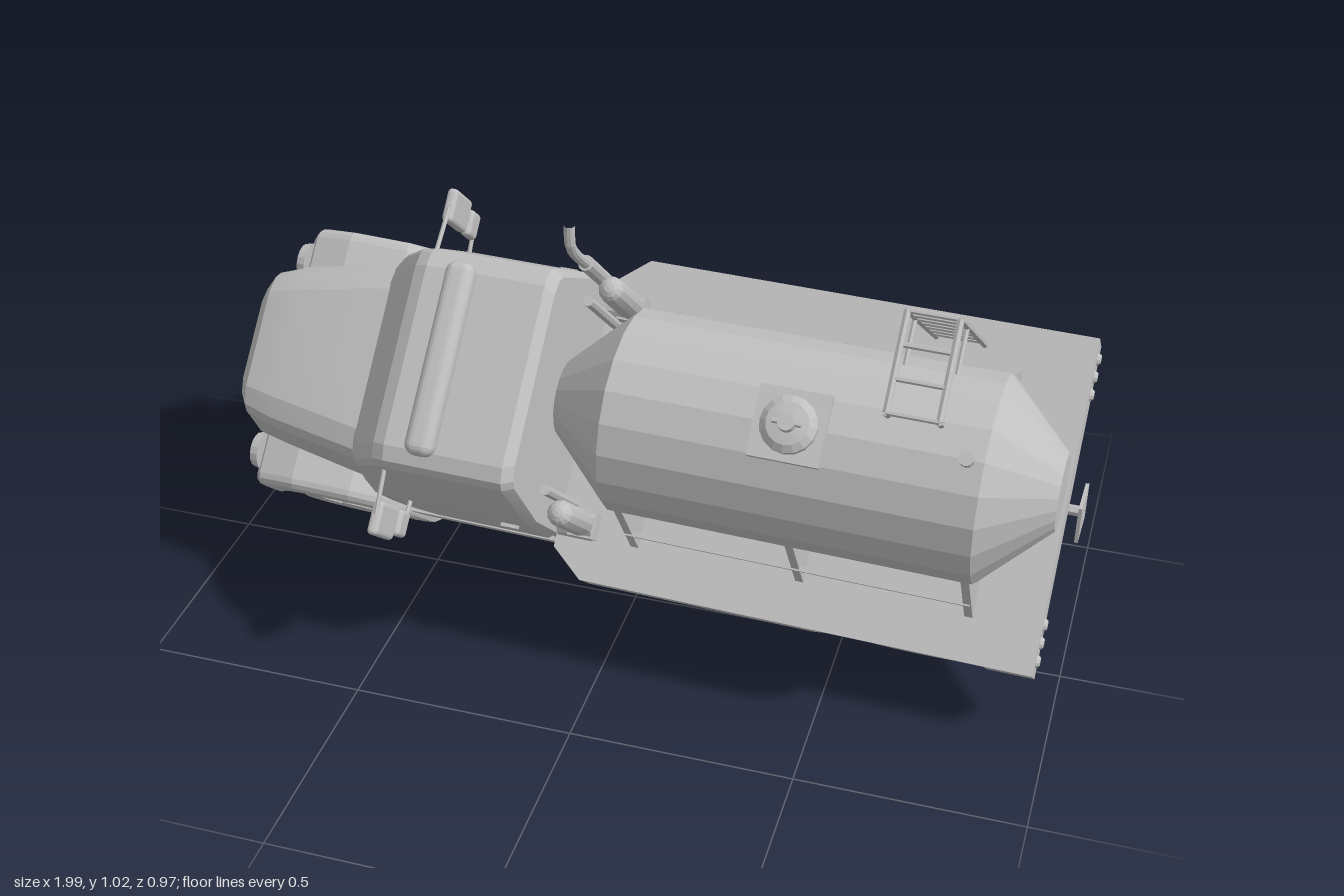
import * as THREE from 'three';
import { toCreasedNormals } from 'three/addons/utils/BufferGeometryUtils.js';
import { RoundedBoxGeometry } from 'three/addons/geometries/RoundedBoxGeometry.js';

export function createModel() {
  const grey = new THREE.MeshStandardMaterial({ color: 0xc0c0c0 });
  grey.name = 'plain grey';
  const truck = new THREE.Group();
  truck.name = 'tankTruck';

  // Helpers: truck nose points to -x, deck top is y = 0
  const add = (name, geo, x = 0, y = 0, z = 0) => {
    const m = new THREE.Mesh(toCreasedNormals(geo, 0.19), grey);
    m.name = name;
    m.position.set(x, y, z);
    truck.add(m);
    return m;
  };
  const box = (name, w, h, d, x, y, z) => add(name, new THREE.BoxGeometry(w, h, d), x, y, z);
  const rod = (name, a, b, r, sides = 6, r2 = r) => {
    const p = new THREE.Vector3(...a), q = new THREE.Vector3(...b);
    const m = add(name, new THREE.CylinderGeometry(r2, r, p.distanceTo(q), sides));
    m.position.copy(p).lerp(q, 0.5);
    m.quaternion.setFromUnitVectors(new THREE.Vector3(0, 1, 0), q.sub(p).normalize());
    return m;
  };
  const lathe = (pts, sides) => new THREE.LatheGeometry(pts.map(p => new THREE.Vector2(...p)), sides);
  const polygon = pts => new THREE.Shape(pts.map(p => new THREE.Vector2(...p)));
  const extrude = (shape, depth, bevel = 0) => new THREE.ExtrudeGeometry(shape, {
    depth, bevelEnabled: bevel > 0, bevelSize: bevel, bevelThickness: bevel,
    bevelOffset: -bevel, bevelSegments: 3, curveSegments: 16,
  });
  // Skin over cross-sections [x, bottom, waist, top, half bottom, half waist, half top, corner radius]
  const loft = sections => {
    const pos = [], idx = [];
    let n = 0;
    for (const [x, yb, ym, yt, hb, hm, ht, r] of sections) {
      const half = [[hb, yb], [hm, ym], [ht, yt - r], [ht - r * 0.1, yt - r * 0.6],
        [ht - r * 0.35, yt - r * 0.25], [ht - r, yt]];
      const ring = [...half, ...half.slice().reverse().map(([z, y]) => [-z, y])];
      n = ring.length;
      ring.forEach(([z, y]) => pos.push(x, y, z));
    }
    for (let s = 0; s < sections.length - 1; s++) for (let i = 0; i < n; i++) {
      const a = s * n + i, b = s * n + (i + 1) % n;
      idx.push(a, a + n, b, b, a + n, b + n);
    }
    const e = (sections.length - 1) * n;
    for (let i = 1; i < n - 1; i++) idx.push(0, i, i + 1, e, e + i + 1, e + i);
    const g = new THREE.BufferGeometry();
    g.setAttribute('position', new THREE.Float32BufferAttribute(pos, 3));
    g.setIndex(idx);
    g.computeVertexNormals();
    return g;
  };

  // Hood and cab
  add('hood', loft([
    [-0.898, -0.08, 0.05, 0.13, 0.13, 0.13, 0.11, 0.03],
    [-0.887, -0.08, 0.06, 0.175, 0.17, 0.17, 0.14, 0.05],
    [-0.86, -0.08, 0.07, 0.207, 0.193, 0.193, 0.17, 0.06],
    [-0.78, -0.08, 0.08, 0.23, 0.205, 0.21, 0.195, 0.07],
    [-0.53, -0.08, 0.09, 0.255, 0.25, 0.255, 0.235, 0.07],
  ]));
  add('cab', loft([
    [-0.57, -0.05, 0.1, 0.235, 0.25, 0.255, 0.23, 0.06],
    [-0.53, -0.05, 0.12, 0.29, 0.285, 0.28, 0.245, 0.05],
    [-0.45, -0.05, 0.16, 0.405, 0.293, 0.285, 0.245, 0.05],
    [-0.42, -0.05, 0.17, 0.42, 0.295, 0.288, 0.247, 0.05],
    [-0.15, -0.05, 0.17, 0.425, 0.295, 0.288, 0.247, 0.05],
    [-0.13, -0.05, 0.17, 0.405, 0.28, 0.275, 0.235, 0.05],
  ]));
  add('roofBar', new RoundedBoxGeometry(0.065, 0.055, 0.42, 3, 0.024), -0.325, 0.458, 0);
  for (const z of [-0.12, 0.12]) box('roofBarFoot', 0.03, 0.05, 0.02, -0.325, 0.43, z);
  for (let i = -2; i <= 2; i++) box('grilleSlat', 0.008, 0.12, 0.012, -0.9, 0.0, i * 0.045);

  for (const s of [-1, 1]) {
    // Fender with round wheel cut-out
    const f = polygon([[-0.88, -0.14], [-0.885, -0.02], [-0.85, 0.045], [-0.76, 0.065], [-0.62, 0.055],
      [-0.53, 0.01], [-0.44, -0.11], [-0.545, -0.11]]);
    f.absarc(-0.685, -0.18, 0.163, 0.45, Math.PI - 0.25, false);
    add('fender', extrude(f, 0.1, 0.025), 0, 0, s > 0 ? 0.185 : -0.285);
    const lamp = add('headlight', new THREE.CylinderGeometry(0.04, 0.045, 0.02, 16), -0.88, 0.0, s * 0.23);
    lamp.rotation.z = Math.PI / 2;
    box('runningBoard', 0.35, 0.07, 0.07, -0.315, -0.045, s * 0.262);
    box('doorHandle', 0.04, 0.01, 0.01, -0.2, 0.13, s * 0.292);

    // Mirrors on a bracket
    add('largeMirror', new RoundedBoxGeometry(0.025, 0.11, 0.075, 2, 0.01), -0.425, 0.305, s * 0.348);
    add('smallMirror', new RoundedBoxGeometry(0.025, 0.055, 0.06, 2, 0.01), -0.425, 0.205, s * 0.342);
    rod('mirrorArm', [-0.425, 0.37, s * 0.24], [-0.425, 0.355, s * 0.35], 0.005);
    rod('mirrorArm', [-0.425, 0.17, s * 0.28], [-0.425, 0.18, s * 0.345], 0.005);
    rod('mirrorPost', [-0.425, 0.17, s * 0.345], [-0.425, 0.36, s * 0.348], 0.005);

    // Canisters between cab and tank
    add('canister', new THREE.CapsuleGeometry(0.03, 0.16, 4, 12), -0.065, 0.14, s * 0.25);
    box('canisterFoot', 0.06, 0.04, 0.06, -0.065, 0.02, s * 0.25);
    rod('canisterHose', [-0.1, 0.02, s * 0.21], [-0.1, 0.26, s * 0.21], 0.012, 8);
    rod('smallTank', [-0.12, 0.02, s * 0.25], [-0.04, 0.02, s * 0.25], 0.033, 12);

    // Side rail joining the tank saddles
    box('saddleRail', 0.77, 0.018, 0.012, 0.43, 0.07, s * 0.252);

    // Chassis rails and tail lights
    box('chassisRail', 1.8, 0.055, 0.02, 0.02, -0.118, s * 0.145);
    for (const z of [0.255, 0.295, 0.335])
      rod('tailLight', [0.96, -0.047, s * z], [0.973, -0.047, s * z], 0.018, 10, 0.01);
  }

  // Front bumper with a pointed cone on a bracket
  add('frontBumper', new RoundedBoxGeometry(0.045, 0.085, 0.58, 2, 0.015), -0.872, -0.115, 0);
  box('coneBracket', 0.11, 0.025, 0.075, -0.94, -0.13, 0);
  box('bracketEnd', 0.012, 0.05, 0.08, -0.99, -0.12, 0);
  add('cone', new THREE.ConeGeometry(0.038, 0.14, 14), -0.948, -0.045, 0);

  // Exhaust stack
  const stack = new THREE.CatmullRomCurve3([[-0.2, -0.1, -0.2], [-0.13, -0.08, -0.27], [-0.122, 0, -0.29],
    [-0.122, 0.2, -0.29], [-0.122, 0.38, -0.29], [-0.122, 0.41, -0.3], [-0.122, 0.44, -0.33]]
    .map(p => new THREE.Vector3(...p)));
  add('exhaustStack', new THREE.TubeGeometry(stack, 28, 0.012, 10));
  rod('exhaustShield', [-0.122, 0.05, -0.29], [-0.122, 0.27, -0.29], 0.018, 10);

  // Deck: nose with cut corners, then a slab with raised wheel bays and rear beam
  add('deckNose', extrude(polygon([[-0.13, -0.31], [-0.055, -0.372], [-0.055, 0.372], [-0.13, 0.31]]), 0.09)
    .rotateX(Math.PI / 2));
  add('deck', extrude(polygon([[-0.055, 0], [-0.055, -0.09], [0.47, -0.09], [0.51, -0.015],
    [0.86, -0.015], [0.86, -0.09], [0.965, -0.09], [0.965, 0]]), 0.744), 0, 0, -0.372);

  // Tank, saddles, hatch
  const tank = add('tank', lathe([[0, -0.11], [0.085, -0.11], [0.222, 0.035], [0.222, 0.825],
    [0.082, 0.968], [0, 0.968]], 20), 0, 0.223, 0);
  tank.rotation.z = -Math.PI / 2;
  for (const x of [0.045, 0.425, 0.8])
    add('saddle', extrude(polygon([[-0.275, 0], [0.275, 0], [0.22, 0.21], [-0.22, 0.21]]), 0.018)
      .rotateY(Math.PI / 2), x, 0, 0);
  box('hatchPlate', 0.15, 0.02, 0.15, 0.43, 0.445, 0);
  add('hatchLid', lathe([[0.06, 0], [0.06, 0.014], [0.045, 0.026], [0.02, 0.03], [0.018, 0.045], [0, 0.045]], 16),
    0.43, 0.455, 0);
  rod('hatchHandle', [0.4, 0.49, 0], [0.46, 0.49, 0], 0.006);
  rod('tankVent', [0.79, 0.43, 0], [0.79, 0.465, 0], 0.016, 10);

  // Ladder up the side and over the top
  const side = [0, -0.315], top = [0.467, -0.27], end = [0.465, -0.06];
  for (const x of [0.617, 0.725]) {
    rod('ladderRail', [x, ...side], [x, ...top], 0.008);
    rod('handRail', [x, ...top], [x, ...end], 0.008);
    rod('handRailPost', [x, ...end], [x, 0.42, -0.06], 0.008);
    rod('ladderStay', [x, 0.35, -0.28], [x, 0.35, -0.17], 0.006);
  }
  for (let i = 1; i <= 7; i++) {
    const t = i / 7, y = side[0] + t * (top[0] - side[0]), z = side[1] + t * (top[1] - side[1]);
    rod('ladderRung', [0.617, y, z], [0.725, y, z], 0.006);
  }
  for (const z of [-0.2, -0.13, -0.06]) rod('topRung', [0.617, 0.466, z], [0.725, 0.466, z], 0.006);

  // Rear diamond plate
  const plate = box('rearPlate', 0.008, 0.095, 0.095, 0.99, -0.155, -0.01);
  plate.rotation.x = Math.PI / 4;
  rod('plateBracket', [0.93, -0.13, -0.01], [0.99, -0.13, -0.01], 0.012);

  // Underside: cross members, axles, drive shaft
  for (let x = -0.8; x < 0.95; x += 0.19) box('crossMember', 0.02, 0.035, 0.34, x, -0.118, 0);
  for (const [x, w] of [[-0.685, 0.24], [0.67, 0.29]]) {
    rod('axle', [x, -0.18, -w], [x, -0.18, w], 0.018, 10);
    for (const z of [-0.145, 0.145]) {
      box('leafSpring', 0.26, 0.015, 0.025, x, -0.16, z);
      for (const d of [-0.13, 0.13]) box('springHanger', 0.02, 0.05, 0.025, x + d, -0.145, z);
    }
  }
  add('differential', new THREE.SphereGeometry(0.04, 12, 8), 0.67, -0.18, 0);
  rod('driveShaft', [-0.35, -0.13, 0], [0.65, -0.18, 0], 0.012, 8);

  // Wheels: single at the front, double at the rear
  const tyre = (w, dish) => lathe([[0, -w * 0.6], [0.08, -w * 0.6], [0.088, -w * 0.9], [0.125, -w],
    [0.148, -w * 0.65], [0.148, w * 0.65], [0.125, w], [0.09, w * 0.92], [0.084, dish], [0.04, dish],
    [0.036, dish + 0.025], [0, dish + 0.025]], 16);
  for (const s of [-1, 1]) for (const [name, x, z, w, dish] of [['frontWheel', -0.685, 0.255, 0.05, 0.025],
    ['rearOuterWheel', 0.67, 0.315, 0.047, 0.0], ['rearInnerWheel', 0.67, 0.219, 0.047, 0.0]]) {
    add(name, tyre(w, dish), x, -0.18, s * z).rotation.x = s * Math.PI / 2;
    if (name === 'rearInnerWheel') continue;
    for (let i = 0; i < 8; i++) {
      const a = i * Math.PI / 4, bx = x + 0.055 * Math.cos(a), by = -0.18 + 0.055 * Math.sin(a);
      rod('wheelNut', [bx, by, s * (z + dish)], [bx, by, s * (z + dish + 0.01)], 0.007);
    }
  }

  // The truck lies rolled over with a slight turn
  truck.rotation.set(0.833, -0.033, -0.006, 'ZYX');
  truck.position.set(0, 0.481, -0.022);
  const model = new THREE.Group();
  model.name = 'model';
  model.add(truck);
  return model;
}
